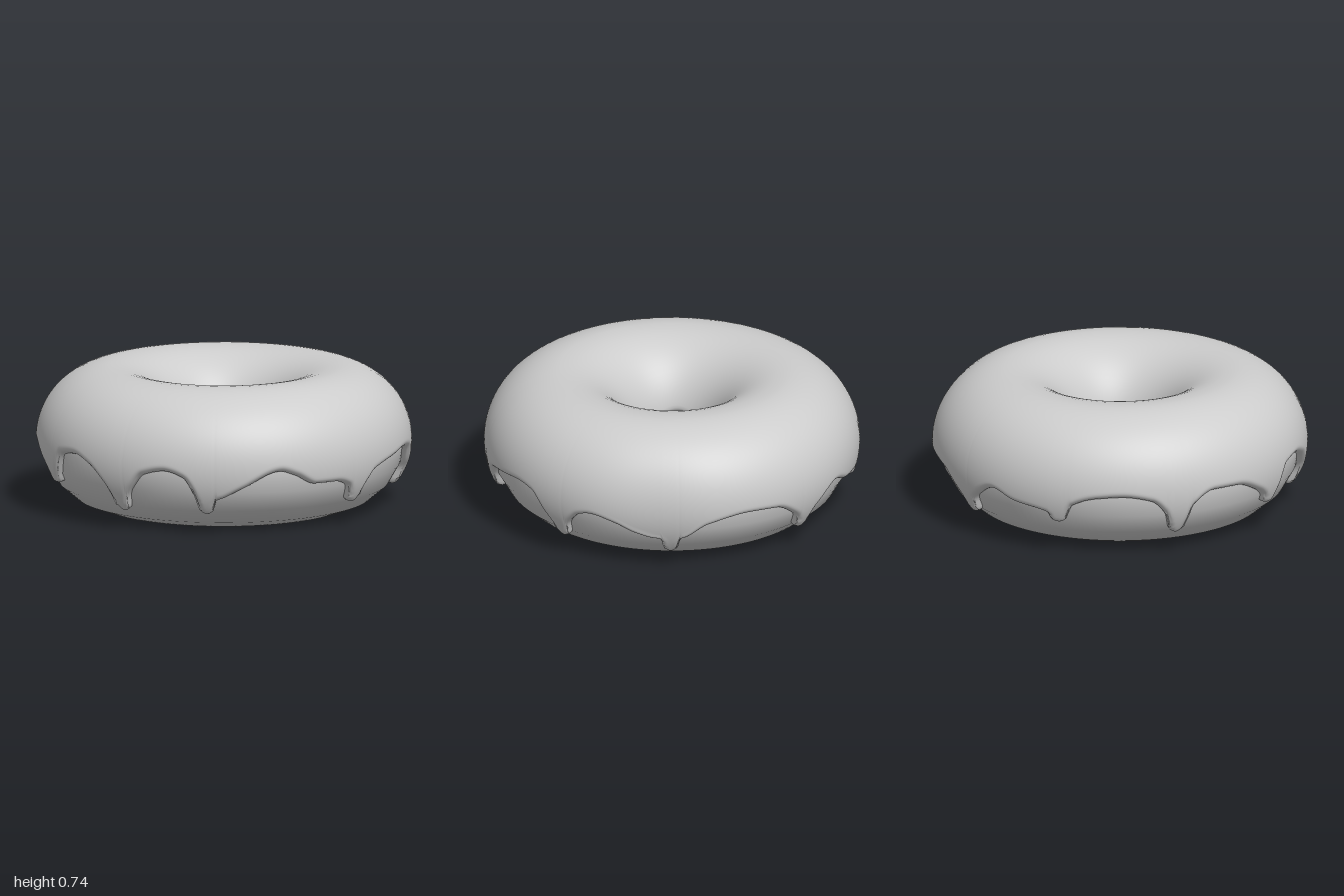
import * as THREE from 'three';

const RING = 0.61, MID = 0.35;      // centre line of the ring
const A = 0.35, B = 0.355;          // half width and half height of the dough
const ICING = 0.04;                 // icing thickness
const ROUND = 0.035;                // rounding distance at the icing edge
const rad = THREE.MathUtils.degToRad;

// drips: [angle in degrees from the front, lowest height]
const drips = [
  [-69, 0.18], [-35.6, 0.11], [-5.6, 0.12], [47.4, 0.135], [91.5, 0.11],
  [130, 0.1], [178, 0.12], [215, 0.19], [254, 0.13],
];
// scalloped edge between the drips: [angle, height]
const scallops = [
  [-61, 0.355], [-54, 0.37], [-47, 0.335], [-41, 0.25],
  [-30, 0.25], [-26, 0.32], [-19, 0.345], [-13, 0.315], [-9.6, 0.23],
  [0, 0.21], [6, 0.26], [18, 0.345], [23, 0.32], [30, 0.265], [38, 0.262], [43, 0.235],
  [52, 0.24], [55, 0.29], [65, 0.325], [75, 0.345], [81, 0.33], [86, 0.24],
  [97, 0.24], [100, 0.28], [104, 0.295], [112, 0.265], [118, 0.22], [124, 0.19],
  [135.5, 0.2], [142, 0.27], [155, 0.31], [165, 0.3], [172, 0.24],
  [183.5, 0.24], [192, 0.31], [200, 0.27], [209, 0.25],
  [220, 0.29], [228, 0.335], [236, 0.345], [245, 0.32], [250, 0.24],
  [259, 0.28], [266, 0.345], [275, 0.34], [284, 0.28],
];

// smooth curve through the points without overshoot, repeating every 360 degrees
function edgeCurve() {
  const base = [...scallops];
  for (const [a, y] of drips) {
    const rise = 0.4 * (0.31 - y);
    base.push([a, y]);
    for (const s of [-1, 1]) base.push([a + s * 3.3, y + rise], [a + s * 2.1, y + rise * 0.2]);
  }
  base.sort((p, q) => p[0] - q[0]);
  const pts = [-360, 0, 360].flatMap((o) => base.map(([a, y]) => [a + o, y]));
  const slope = (i) => (pts[i + 1][1] - pts[i][1]) / (pts[i + 1][0] - pts[i][0]);
  const tangent = (i) => {
    const l = slope(i - 1), r = slope(i);
    return l * r <= 0 ? 0 : (2 * l * r) / (l + r);
  };
  return (a) => {
    const i = pts.findIndex((p) => p[0] > a) - 1;
    const [x0, y0] = pts[i], [x1, y1] = pts[i + 1];
    const h = x1 - x0, t = (a - x0) / h, t2 = t * t, t3 = t2 * t;
    return (2 * t3 - 3 * t2 + 1) * y0 + (t3 - 2 * t2 + t) * h * tangent(i)
      + (3 * t2 - 2 * t3) * y1 + (t3 - t2) * h * tangent(i + 1);
  };
}

// dough ring, its seam hidden under the icing
function doughGeometry() {
  const profile = [];
  for (let i = 0; i <= 18; i++) {
    const t = rad(100 + i * 20);
    profile.push(new THREE.Vector2(RING + A * Math.cos(t), Math.max(0, MID + B * Math.sin(t))));
  }
  return new THREE.LatheGeometry(profile, 128);
}

// icing shell wrapped over the ring, from the hole to the dripping outer edge
function icingGeometry() {
  const COLS = 720, INNER = 20, OUTER = 36, ROWS = INNER + OUTER;
  const height = edgeCurve();
  const outer = [], inner = [];
  for (let c = 0; c < COLS; c++) {
    const deg = (c / COLS) * 360;
    outer.push(Math.asin((height(deg) - MID) / B));
    inner.push(Math.PI - Math.asin((0.02 + 0.02 * Math.sin(rad(deg * 5)) + 0.008 * Math.sin(rad(deg * 3))) / B));
  }
  // shortest distance along the dough to the outer edge
  const edgeDistance = (c, t) => {
    let best = 1;
    for (let k = -10; k <= 10; k++) {
      const e = outer[(c + k + COLS) % COLS];
      best = Math.min(best, Math.hypot(k * (Math.PI * 2 / COLS) * 0.9, (t - e) * A));
    }
    return best;
  };
  const pos = [], index = [];
  for (let c = 0; c < COLS; c++) {
    const phi = (c / COLS) * Math.PI * 2;
    const dent = 0.02 * Math.exp(-(((c / 2 - 125) / 14) ** 2));
    for (let r = 0; r <= ROWS; r++) {
      const top = Math.PI / 2;
      const t = r <= INNER
        ? inner[c] + (top - inner[c]) * (r / INNER) ** 1.8
        : outer[c] + (top - outer[c]) * ((ROWS - r) / OUTER) ** 1.7;
      const d = r <= INNER ? (inner[c] - t) * A : edgeDistance(c, t);
      const f = 1 - Math.min(1, d / ROUND);
      const lift = -0.01 + (ICING + 0.01) * Math.sqrt(1 - f * f);
      const out = lift - dent * Math.max(0, Math.cos(t)) * (1 - f);
      const radius = RING + (A + out) * Math.cos(t);
      pos.push(radius * Math.sin(phi), MID + (B + lift) * Math.sin(t), radius * Math.cos(phi));
      if (r < ROWS) {
        const a = c * (ROWS + 1) + r, b = ((c + 1) % COLS) * (ROWS + 1) + r;
        index.push(a, a + 1, b, b, a + 1, b + 1);
      }
    }
  }
  const g = new THREE.BufferGeometry();
  g.setAttribute('position', new THREE.Float32BufferAttribute(pos, 3));
  g.setIndex(index);
  g.computeVertexNormals();
  return g;
}

export function createModel() {
  const grey = new THREE.MeshStandardMaterial({ color: 0xcccccc });
  grey.name = 'plain grey';
  const group = new THREE.Group();
  group.name = 'donut';
  const parts = { dough: doughGeometry(), icing: icingGeometry() };
  for (const [name, geometry] of Object.entries(parts)) {
    const mesh = new THREE.Mesh(geometry, grey);
    mesh.name = name;
    group.add(mesh);
  }
  return group;
}
